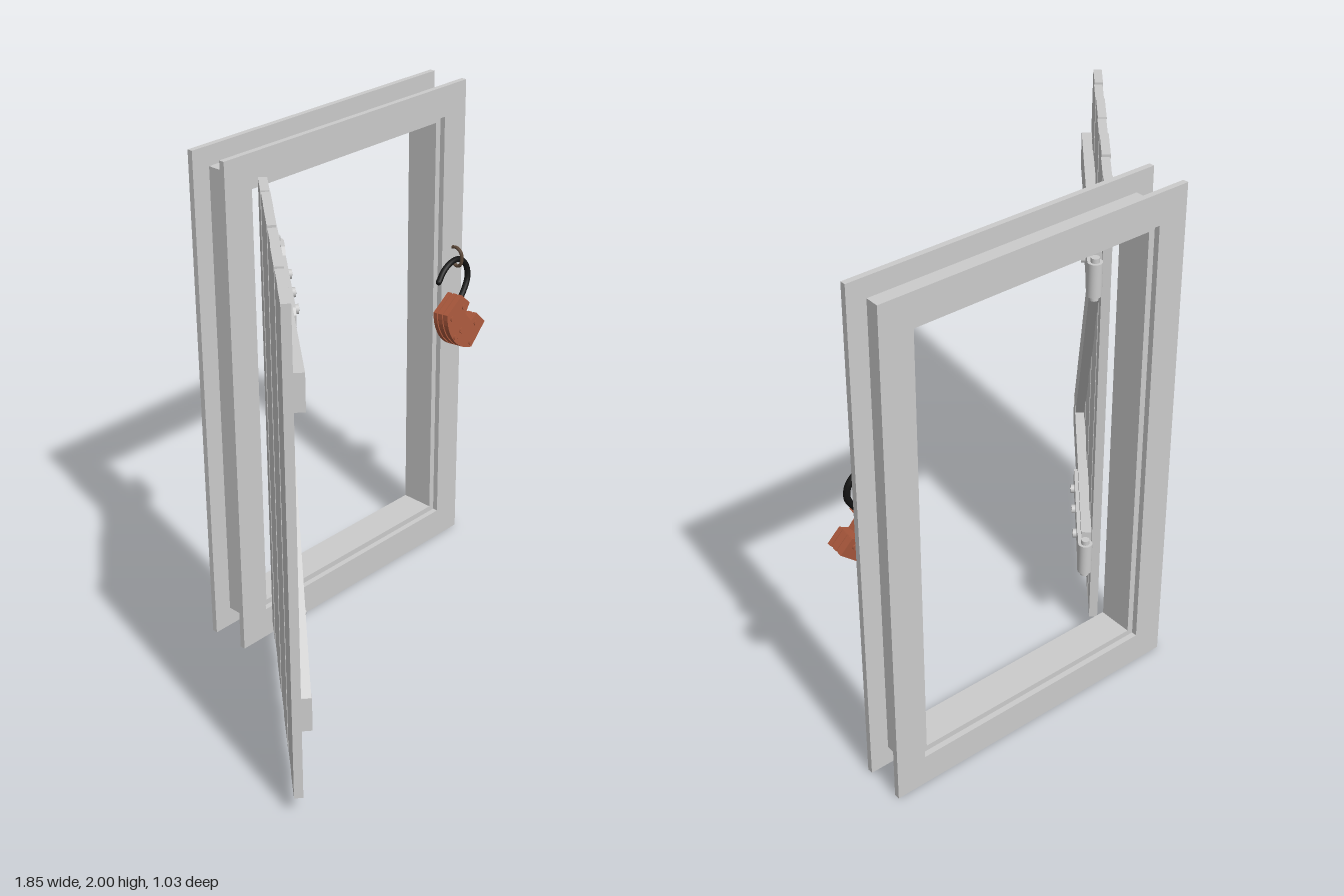
import * as THREE from 'three';

const grey = new THREE.MeshStandardMaterial({ color: 0xcccccc });
const copper = new THREE.MeshStandardMaterial({ color: 0xa9583c });
const black = new THREE.MeshStandardMaterial({ color: 0x141414 });
const rust = new THREE.MeshStandardMaterial({ color: 0x5a4636 });

function add(parent, name, geometry, material = grey, x = 0, y = 0, z = 0) {
  const mesh = new THREE.Mesh(geometry, material);
  mesh.name = name;
  mesh.position.set(x, y, z);
  parent.add(mesh);
  return mesh;
}

// Box given by its limits on each axis
function block(parent, name, x0, x1, y0, y1, z0, z1) {
  return add(parent, name, new THREE.BoxGeometry(x1 - x0, y1 - y0, z1 - z0), grey,
    (x0 + x1) / 2, (y0 + y1) / 2, (z0 + z1) / 2);
}

const polygon = (pts) => new THREE.Shape(pts.map(([x, y]) => new THREE.Vector2(x, y)));
const extrude = (shape, depth) =>
  new THREE.ExtrudeGeometry(shape, { depth, bevelEnabled: false, curveSegments: 12 });
const rect = (x0, x1, y0, y1) => polygon([[x0, y0], [x1, y0], [x1, y1], [x0, y1]]);

// Cylinder lying along z
function disc(r, h, sides = 16) {
  return new THREE.CylinderGeometry(r, r, h, sides).rotateX(Math.PI / 2);
}

function buildFrame() {
  const frame = new THREE.Group();
  frame.name = 'windowFrame';
  const ring = (name, outer, hole, z0, z1) => {
    const shape = rect(...outer);
    shape.holes.push(rect(...hole));
    add(frame, name, extrude(shape, z1 - z0), grey, 0, 0, z0);
  };
  const outer = [-0.38, 0.875, 0, 2], opening = [-0.26, 0.755, 0.125, 1.88];
  ring('frontFlange', outer, opening, -0.358, -0.336);
  ring('backFlange', outer, opening, -0.518, -0.496);
  ring('frameCore', [-0.305, 0.8, 0.08, 1.925], [-0.235, 0.73, 0.148, 1.857], -0.496, -0.358);
  return frame;
}

// Strap hinge with screws and a pinned barrel, centred on local y = 0
function buildHinge() {
  const hinge = new THREE.Group();
  hinge.name = 'hinge';
  const half = [[-0.508, 0.022], [-0.488, 0.042], [-0.055, 0.042], [-0.03, 0.065], [0.027, 0.065]];
  const mirrored = half.map(([x, y]) => [x, -y]);
  add(hinge, 'strap', extrude(polygon([...mirrored, ...half.reverse()]), 0.014), grey, 0, 0, 0.071);
  for (const x of [-0.41, -0.275, -0.12]) {
    add(hinge, 'screw', disc(0.017, 0.015), grey, x, 0, 0.0925);
    add(hinge, 'screwSocket', disc(0.007, 0.003, 6), grey, x, 0, 0.101);
  }
  add(hinge, 'barrel', new THREE.CylinderGeometry(0.027, 0.027, 0.13, 24), grey, 0.027, 0, 0.058);
  add(hinge, 'pin', new THREE.CylinderGeometry(0.016, 0.016, 0.165, 16), grey, 0.027, 0, 0.058);
  return hinge;
}

function buildShutter() {
  const shutter = new THREE.Group();
  shutter.name = 'shutter';
  // Planks with slightly uneven ends and faces
  const seams = [-1.047, -0.919, -0.775, -0.6, -0.456, -0.28, -0.13, 0];
  const bottoms = [0.08, 0.07, 0.08, 0.077, 0.082, 0.076, 0.08];
  const tops = [1.92, 1.914, 1.92, 1.918, 1.926, 1.916, 1.92];
  for (let i = 0; i < 7; i++) {
    const dz = (i % 2) * 0.002;
    block(shutter, 'plank', seams[i] + 0.001, seams[i + 1] - 0.001, bottoms[i], tops[i], dz, 0.032 + dz);
  }
  // Two battens joined by a diagonal brace
  for (const y of [0.4, 1.608]) {
    block(shutter, 'batten', -1.008, -0.038, y - 0.067, y + 0.067, 0.032, 0.071);
    const hinge = buildHinge();
    hinge.position.y = y;
    shutter.add(hinge);
  }
  const brace = polygon([[-1.005, 0.467], [-0.86, 0.467], [-0.04, 1.541], [-0.185, 1.541]]);
  add(shutter, 'brace', extrude(brace, 0.037), grey, 0, 0, 0.032);
  // Swung open
  shutter.position.set(-0.255, 0, -0.305);
  shutter.rotation.y = THREE.MathUtils.degToRad(50);
  return shutter;
}

function buildPadlock() {
  const lock = new THREE.Group();
  lock.name = 'padlock';
  const cx = 0.81, cy = 1.02;
  // Body outline with a rounded base and a notch at the shoulder
  const outline = (s) => {
    const p = (x, y) => [(x - cx) * s, (y - cy) * s];
    const shape = new THREE.Shape();
    shape.moveTo(...p(0.793, 1.143));
    shape.lineTo(...p(0.7, 1.085));
    shape.bezierCurveTo(...p(0.69, 0.99), ...p(0.75, 0.92), ...p(0.833, 0.908));
    shape.lineTo(...p(0.923, 0.99));
    shape.lineTo(...p(0.878, 1.04));
    shape.lineTo(...p(0.84, 1.018));
    shape.lineTo(...p(0.808, 1.06));
    shape.lineTo(...p(0.838, 1.098));
    shape.closePath();
    return shape;
  };
  add(lock, 'lockCore', extrude(outline(0.95), 0.05), copper, 0, 0, -0.025);
  for (const z of [-0.037, -0.009, 0.019])
    add(lock, 'lockPlate', extrude(outline(1), 0.018), copper, 0, 0, z);
  // Rivets and keyhole cover
  for (const [x, y] of [[0.8, 1.09], [0.727, 1.063], [0.738, 0.98], [0.866, 1.0], [0.828, 0.928]])
    add(lock, 'rivet', disc(0.011, 0.084, 12), copper, x - cx, y - cy, 0);
  add(lock, 'keyhole', disc(0.013, 0.006, 14), copper, 0.778 - cx, 0.997 - cy, 0.039);
  const slot = add(lock, 'keySlot', new THREE.BoxGeometry(0.03, 0.008, 0.004), copper, 0.762 - cx, 0.984 - cy, 0.038);
  slot.rotation.z = 0.8;
  // Open shackle
  const curve = new THREE.CatmullRomCurve3(
    [[0.702, 1.22], [0.735, 1.256], [0.785, 1.28], [0.835, 1.277], [0.87, 1.24], [0.874, 1.19], [0.85, 1.145], [0.8, 1.09]]
      .map(([x, y]) => new THREE.Vector3(x - cx, y - cy, 0)));
  add(lock, 'shackle', new THREE.TubeGeometry(curve, 40, 0.012, 10), black);
  const end = add(lock, 'shackleTip', new THREE.SphereGeometry(0.012, 10, 8), black);
  end.position.copy(curve.getPoint(0));
  lock.position.set(cx, cy, -0.285);
  lock.rotation.x = -0.1;
  return lock;
}

function buildStaple() {
  // Hooked eye fixed to the frame, holding the shackle
  const path = new THREE.CatmullRomCurve3(
    [[1.325, -0.345], [1.329, -0.315], [1.315, -0.292], [1.285, -0.286], [1.258, -0.295], [1.252, -0.315], [1.265, -0.33]]
      .map(([y, z]) => new THREE.Vector3(0.817, y, z)));
  const staple = new THREE.Mesh(new THREE.TubeGeometry(path, 30, 0.007, 8), rust);
  staple.name = 'staple';
  return staple;
}

export function createModel() {
  const model = new THREE.Group();
  model.name = 'shutteredWindow';
  model.add(buildFrame(), buildShutter(), buildPadlock(), buildStaple());
  return model;
}
